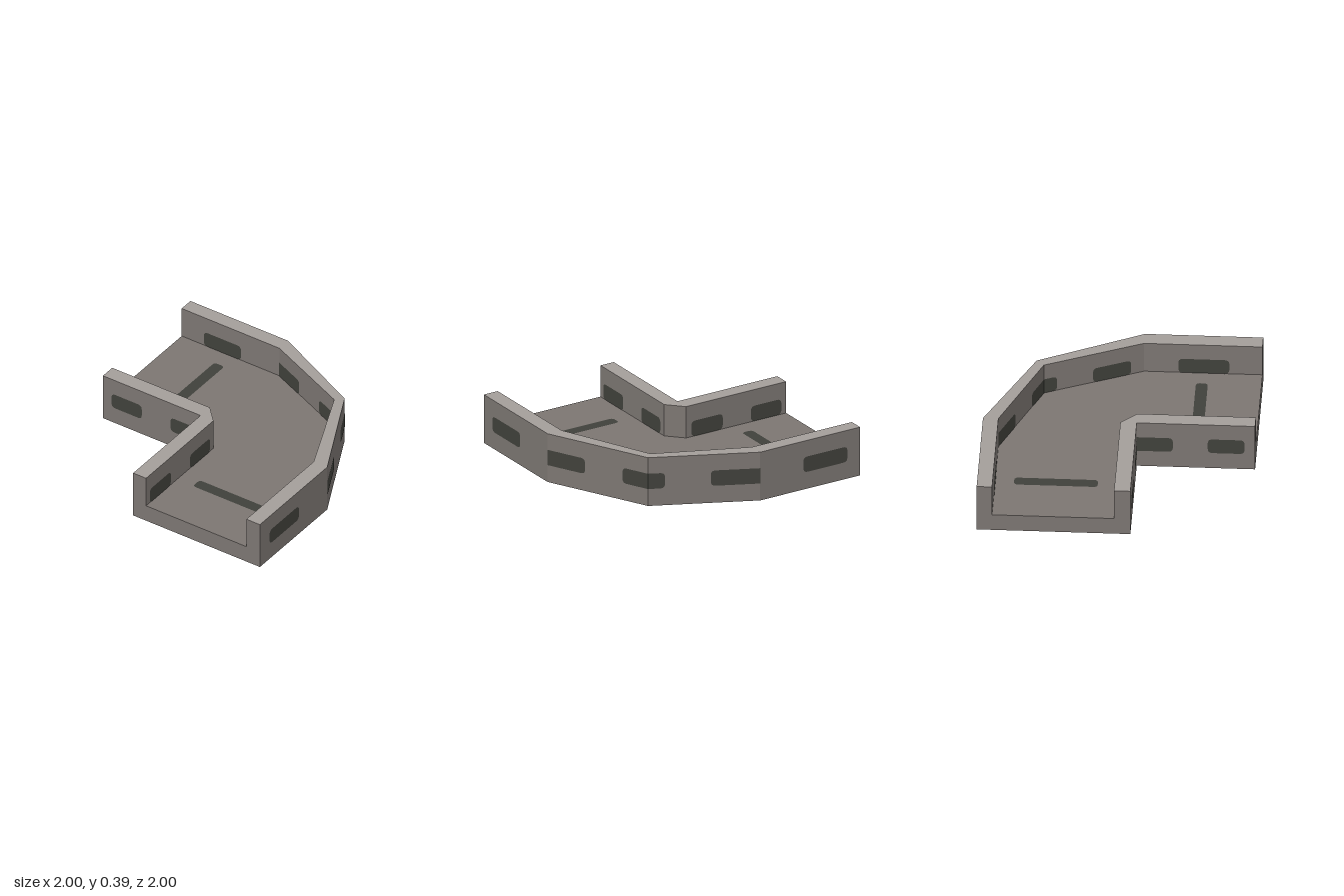
import * as THREE from 'three';

const FLOOR = 0.135, HEIGHT = 0.385, GAP = 0.003;

// Wall faces as [x, z] paths, each running left to right as seen from its visible side
const outerOutside = [[1, 1], [1, 0.13], [0.62, -0.645], [-0.13, -1], [-1, -1]];
const outerInside = [[-1, -0.887], [-0.13, -0.887], [0.565, -0.59], [0.88, 0.13], [0.88, 1]];
const notchOutside = [[-1, 0.13], [-0.13, 0.13], [-0.13, 1]];
const notchInside = [[-0.015, 1], [-0.015, 0.13], [-0.13, 0.01], [-1, 0.01]];

// Slots per path segment, as start and end fractions; 0 and 1 wrap round a corner
const slotRows = [
  [outerOutside, [[[0.14, 0.575]], [[0, 0.374], [0.748, 1]], [[0, 0.15], [0.56, 1]], [[0.43, 0.87]]]],
  [outerInside, [[[0.23, 0.61]], [[0, 0.37], [0.73, 1]], [[0, 0.13], [0.49, 0.87]], [[0.29, 0.72]]]],
  [notchOutside, [[[0.09, 0.4], [0.695, 1]], [[0, 0.305], [0.6, 0.91]]]],
  [notchInside, [[[0.05, 0.363], [0.647, 0.945]], [], [[0.05, 0.364], [0.647, 0.95]]]],
];

// Flat plan outline raised into a solid
function raise(points, depth) {
  const shape = new THREE.Shape(points.map(([x, z]) => new THREE.Vector2(x, -z)));
  return new THREE.ExtrudeGeometry(shape, { depth, bevelEnabled: false }).rotateX(-Math.PI / 2);
}

// Rectangle with separate corner radii for its left and right ends
function slotShape(w, h, left, right) {
  const x = w / 2, y = h / 2, s = new THREE.Shape();
  s.moveTo(-x + left, -y);
  s.lineTo(x - right, -y);
  s.quadraticCurveTo(x, -y, x, -y + right);
  s.lineTo(x, y - right);
  s.quadraticCurveTo(x, y, x - right, y);
  s.lineTo(-x + left, y);
  s.quadraticCurveTo(-x, y, -x, y - left);
  s.lineTo(-x, -y + left);
  s.quadraticCurveTo(-x, -y, -x + left, -y);
  return new THREE.ShapeGeometry(s, 5);
}

export function createModel() {
  const group = new THREE.Group();
  const material = (name, color) => {
    const m = new THREE.MeshStandardMaterial({ color });
    m.name = name;
    return m;
  };
  const stone = material('stone', 0x7c7672);
  const rim = material('paleRim', 0xa49e9a);
  const dark = material('darkSlot', 0x40413b);

  const add = (name, geometry, mat) => {
    const mesh = new THREE.Mesh(geometry, mat);
    mesh.name = name;
    group.add(mesh);
    return mesh;
  };

  // Floor slab over the whole footprint
  add('floor', raise([...outerOutside, ...notchOutside], FLOOR), stone);

  // Walls with pale tops
  for (const [name, a, b] of [
    ['outerWall', outerOutside, outerInside],
    ['notchWall', notchOutside, notchInside],
  ]) {
    add(name, raise([...a, ...b], HEIGHT - FLOOR), [rim, stone]).position.y = FLOOR;
  }

  // Slots along the walls
  for (const [path, segments] of slotRows) {
    segments.forEach((slots, i) => {
      const [ax, az] = path[i], [bx, bz] = path[i + 1];
      const dx = bx - ax, dz = bz - az, length = Math.hypot(dx, dz);
      for (const [t0, t1] of slots) {
        const width = (t1 - t0) * length, t = (t0 + t1) / 2;
        const r = Math.min(0.035, width / 3);
        const plate = add('wallSlot', slotShape(width, 0.122, t0 === 0 ? 0 : r, t1 === 1 ? 0 : r), dark);
        plate.position.set(ax + dx * t - (dz / length) * GAP, 0.197, az + dz * t + (dx / length) * GAP);
        plate.rotation.y = Math.atan2(-dz, dx);
      }
    });
  }

  // Long slots on the floor, above and below
  for (const [x, z, turn] of [[-0.567, -0.44, Math.PI / 2], [0.437, 0.562, 0]]) {
    for (const side of [1, -1]) {
      const geometry = slotShape(0.615, 0.088, 0.03, 0.03).rotateX(-side * Math.PI / 2).rotateY(turn);
      add('floorSlot', geometry, dark).position.set(x, side > 0 ? FLOOR + GAP : -GAP, z);
    }
  }
  return group;
}
